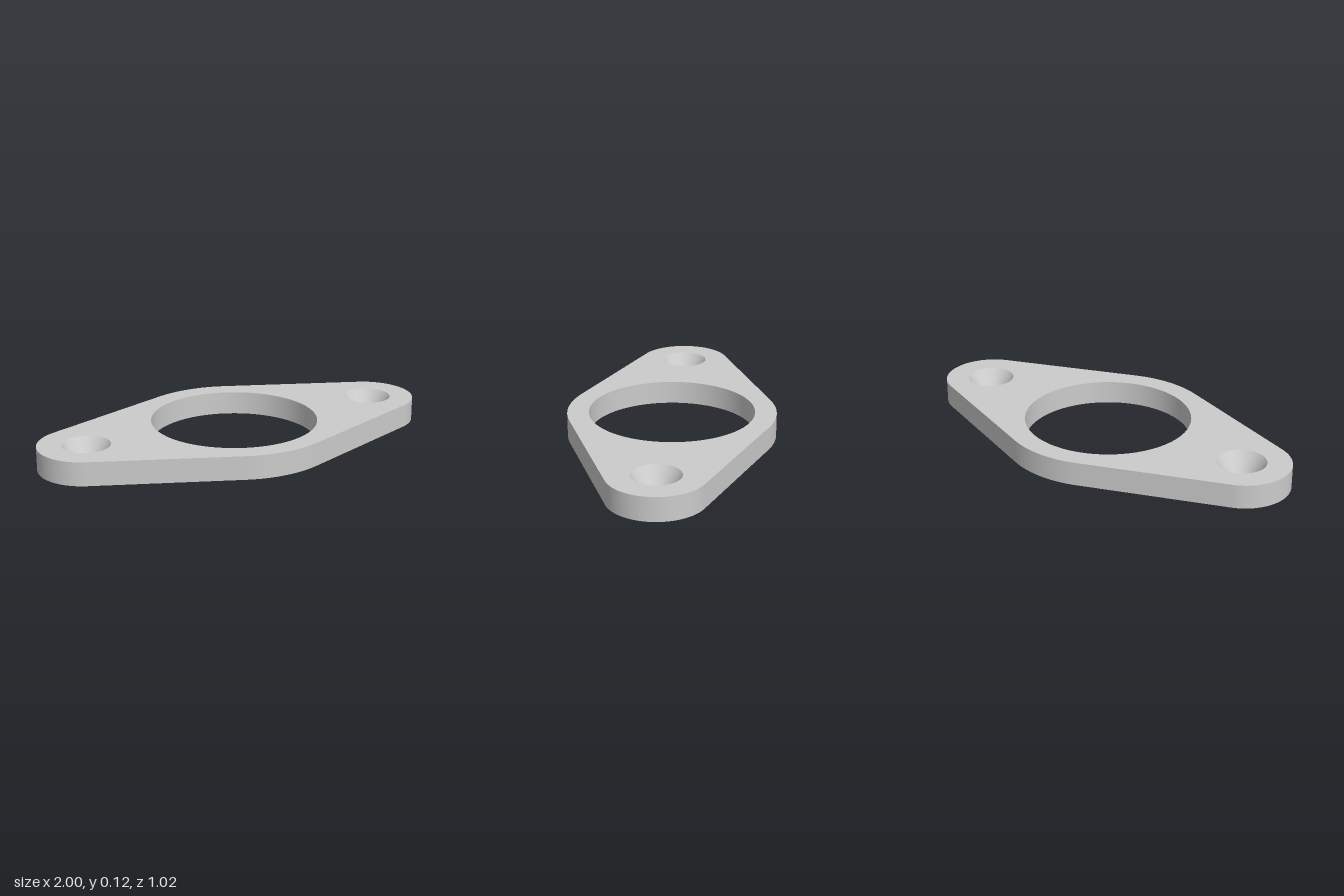
import * as THREE from 'three';

const HEIGHT = 0.115;
const BORE = 0.405;                       // central opening radius
const END_X = 0.77, END_R = 0.23;         // rounded ends
const MID_R = 0.51;                       // rounded middle
const SINK_TOP = 0.115, SINK_BOTTOM = 0.04; // countersunk screw holes
const STEPS = 32;

// Outline: four arcs joined by their common tangents, with outward normals
function outlinePoints() {
  const t = Math.acos((MID_R - END_R) / END_X);
  const arcs = [
    [END_X, END_R, -t, t],
    [0, MID_R, t, Math.PI - t],
    [-END_X, END_R, Math.PI - t, Math.PI + t],
    [0, MID_R, Math.PI + t, 2 * Math.PI - t],
  ];
  const points = [];
  for (const [cx, r, a0, a1] of arcs) {
    for (let i = 0; i <= STEPS; i++) {
      const a = a0 + (a1 - a0) * i / STEPS;
      const normal = new THREE.Vector2(Math.cos(a), Math.sin(a));
      points.push({ normal, pos: new THREE.Vector2(cx, 0).addScaledVector(normal, r) });
    }
  }
  points.push(points[0]);
  return points;
}

// Flat face with the bore and two screw holes of the given radius
function faceGeometry(outline, holeRadius) {
  const shape = new THREE.Shape(outline.slice(0, -1).map((p) => p.pos));
  for (const [x, r] of [[0, BORE], [END_X, holeRadius], [-END_X, holeRadius]]) {
    shape.holes.push(new THREE.Path().absarc(x, 0, r, 0, Math.PI * 2, true));
  }
  return new THREE.ShapeGeometry(shape, STEPS);
}

// Strip bent around the outline
function rimGeometry(outline) {
  const n = outline.length;
  const geometry = new THREE.PlaneGeometry(1, 1, n - 1, 1);
  const { position, normal } = geometry.attributes;
  for (let i = 0; i < position.count; i++) {
    const p = outline[i % n];
    position.setXYZ(i, p.pos.x, i < n ? HEIGHT : 0, -p.pos.y);
    normal.setXYZ(i, p.normal.x, 0, -p.normal.y);
  }
  return geometry;
}

// Inward-facing wall of a round hole, running from top to bottom
function holeGeometry(topRadius, bottomRadius) {
  return new THREE.LatheGeometry([
    new THREE.Vector2(topRadius, HEIGHT),
    new THREE.Vector2(bottomRadius, 0),
  ], STEPS * 2);
}

export function createModel() {
  const group = new THREE.Group();
  group.name = 'flangePlate';
  const material = new THREE.MeshStandardMaterial({ color: 0xcccccc });
  const add = (name, geometry, x = 0, y = 0) => {
    const mesh = new THREE.Mesh(geometry, material);
    mesh.name = name;
    mesh.position.set(x, y, 0);
    group.add(mesh);
  };

  const outline = outlinePoints();
  add('topFace', faceGeometry(outline, SINK_TOP).rotateX(-Math.PI / 2), 0, HEIGHT);
  add('bottomFace', faceGeometry(outline, SINK_BOTTOM).rotateX(Math.PI / 2));
  add('outerRim', rimGeometry(outline));
  add('centreBore', holeGeometry(BORE, BORE));
  add('leftScrewHole', holeGeometry(SINK_TOP, SINK_BOTTOM), END_X);
  add('rightScrewHole', holeGeometry(SINK_TOP, SINK_BOTTOM), -END_X);
  return group;
}
